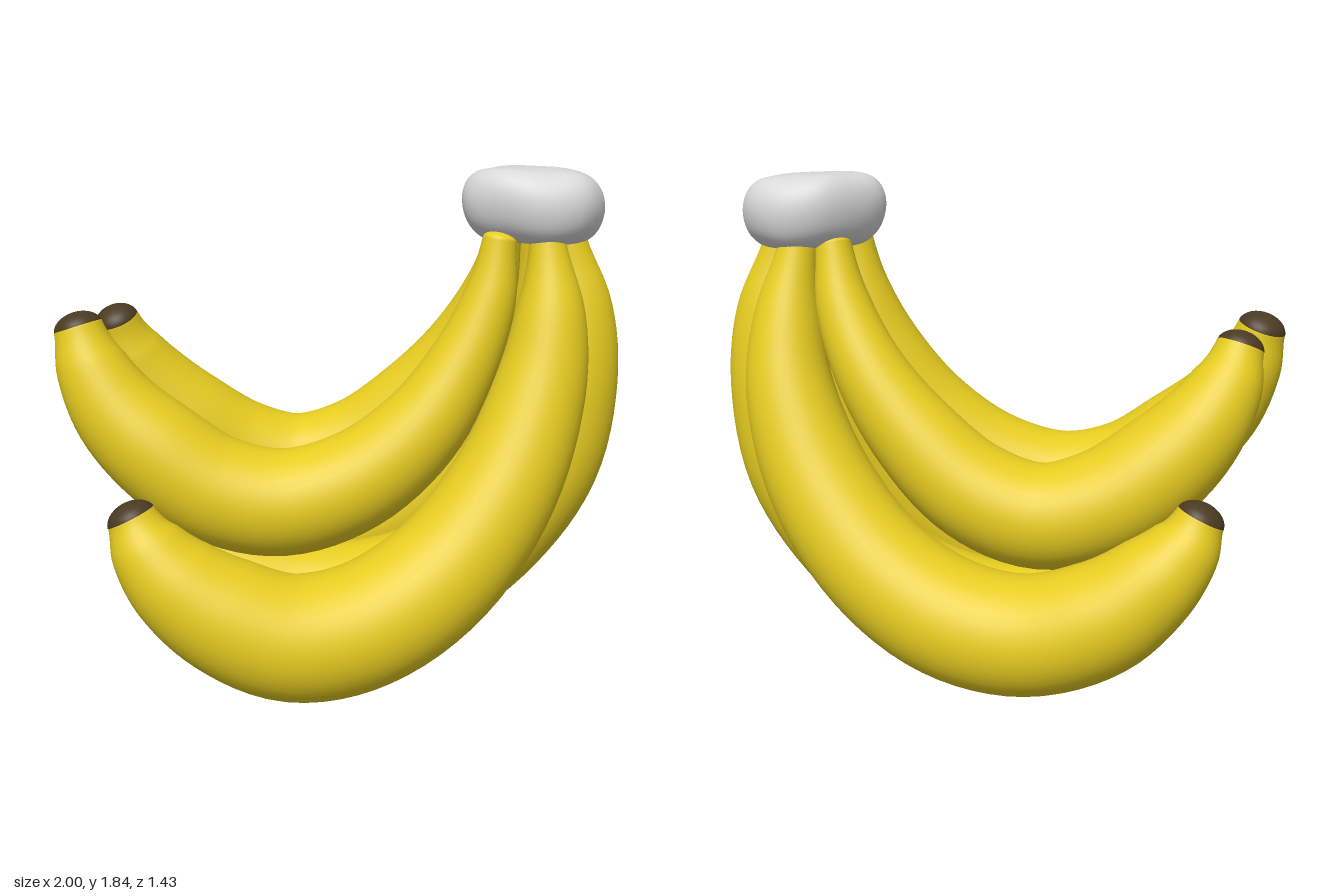
import * as THREE from 'three';

const SIDES = 36, STEPS = 60, DOME = 10, TIP_RINGS = 9;

// Closed skin over rings of equal point count; rings run counterclockwise about their direction of travel
function loft(rings) {
  const n = rings[0].length, pos = [], idx = [];
  rings.forEach(r => r.forEach(p => pos.push(p.x, p.y, p.z)));
  for (let i = 0; i < rings.length - 1; i++)
    for (let j = 0; j < n; j++) {
      const a = i * n + j, b = i * n + (j + 1) % n;
      idx.push(a, b, a + n, b, b + n, a + n);
    }
  const g = new THREE.BufferGeometry();
  g.setAttribute('position', new THREE.Float32BufferAttribute(pos, 3));
  g.setIndex(idx);
  g.computeVertexNormals();
  return g;
}

// Banana: each station is [x, y, z, radius], from the stem to the tip
function banana(stations, materials, name) {
  const path = new THREE.CatmullRomCurve3(stations.map(s => new THREE.Vector3(s[0], s[1], s[2])));
  const radii = new THREE.SplineCurve(stations.map((s, i) => new THREE.Vector2(i, s[3])));
  const rings = [];
  const ring = (t, shift, scale) => {
    const T = path.getTangent(t), c = path.getPoint(t).addScaledVector(T, shift);
    const b = new THREE.Vector3(0, 0, 1).addScaledVector(T, -T.z).normalize();
    const n = b.clone().cross(T), r = radii.getPoint(t).y * scale;
    rings.push(Array.from({ length: SIDES }, (_, j) => {
      const a = j / SIDES * Math.PI * 2;
      return c.clone().addScaledVector(n, r * Math.cos(a)).addScaledVector(b, r * Math.sin(a));
    }));
  };
  // Rounded stem end, body, rounded tip
  for (let k = 0; k < DOME; k++) {
    const a = k / DOME * Math.PI / 2;
    ring(0, -0.03 * Math.cos(a), Math.max(Math.sin(a), 0.001));
  }
  for (let i = 0; i <= STEPS; i++) ring(i / STEPS, 0, 1);
  for (let k = 1; k <= DOME; k++) {
    const a = k / DOME * Math.PI / 2;
    ring(1, 0.06 * Math.sin(a), Math.max(Math.cos(a), 0.001));
  }
  const g = loft(rings);
  const split = (rings.length - 1 - TIP_RINGS) * SIDES * 6;
  g.addGroup(0, split, 0);
  g.addGroup(split, g.index.count - split, 1);
  const m = new THREE.Mesh(g, materials);
  m.name = name;
  return m;
}

// Lumpy cap joining the stems
function crown(material) {
  const outline = new THREE.CatmullRomCurve3([
    [.70, .16], [.85, .12], [.92, -.05], [.87, -.2], [.75, -.27],
    [.60, -.25], [.50, -.17], [.42, -.02], [.45, .06], [.55, .125],
  ].map(p => new THREE.Vector3(p[0], 0, p[1])), true);
  const profile = new THREE.SplineCurve([
    [.001, 1.58], [.45, 1.583], [.73, 1.6], [.92, 1.645], [1, 1.71],
    [.965, 1.772], [.83, 1.818], [.6, 1.837], [.001, 1.838],
  ].map(p => new THREE.Vector2(...p)));
  const rings = [];
  for (let i = 0; i <= 32; i++) {
    const s = profile.getPoint(i / 32);
    rings.push(Array.from({ length: 40 }, (_, j) => {
      const p = outline.getPoint(j / 40);
      const dx = (p.x - .67) * s.x, dz = (p.z + .055) * s.x;
      const lump = .012 * s.x * Math.sin(dx * 17 + 1) * Math.cos(dz * 15);
      return new THREE.Vector3(.67 + dx, s.y + lump - dx * .05, -.055 + dz);
    }));
  }
  const m = new THREE.Mesh(loft(rings), material);
  m.name = 'crown';
  return m;
}

export function createModel() {
  const mat = (name, color) => {
    const m = new THREE.MeshStandardMaterial({ color });
    m.name = name;
    return m;
  };
  const skin = [mat('yellow peel', 0xe6cc20), mat('brown tip', 0x4a3a22)];
  const group = new THREE.Group();
  group.name = 'bananaBunch';

  const bananas = {
    lowerFrontBanana: [
      [.715, 1.59, .05, .063], [.73, 1.35, .08, .122], [.70, 1.1, .125, .162], [.58, .77, .225, .193],
      [.365, .485, .335, .212], [.10, .325, .435, .22], [-.15, .297, .492, .217], [-.38, .39, .515, .2],
      [-.54, .515, .525, .165], [-.63, .63, .52, .125], [-.675, .72, .51, .085]],
    lowerMiddleBanana: [
      [.795, 1.59, -.055, .068], [.845, 1.35, -.063, .122], [.84, 1.1, -.067, .162], [.76, .78, -.07, .195],
      [.58, .51, -.07, .205], [.33, .305, -.065, .21], [.05, .22, -.065, .212], [-.2, .235, -.06, .207],
      [-.42, .33, -.04, .18], [-.58, .45, -.025, .135], [-.665, .54, -.015, .082]],
    lowerBackBanana: [
      [.70, 1.59, -.155, .07], [.73, 1.35, -.2, .12], [.71, 1.1, -.265, .155], [.58, .79, -.35, .185],
      [.36, .535, -.435, .198], [.1, .385, -.487, .207], [-.17, .35, -.51, .205], [-.42, .435, -.515, .193],
      [-.6, .58, -.5, .157], [-.69, .69, -.48, .118], [-.73, .775, -.465, .083]],
    upperFrontBanana: [
      [.55, 1.6, .055, .06], [.52, 1.4, .07, .093], [.43, 1.17, .1, .125], [.28, .94, .14, .157],
      [.06, .76, .17, .18], [-.2, .68, .19, .192], [-.44, .73, .2, .193], [-.64, .87, .2, .185],
      [-.78, 1.01, .19, .16], [-.87, 1.17, .175, .124], [-.91, 1.295, .16, .087]],
    upperBackBanana: [
      [.58, 1.6, -.13, .064], [.54, 1.4, -.165, .097], [.43, 1.17, -.22, .127], [.26, .95, -.255, .158],
      [.05, .77, -.278, .178], [-.18, .695, -.28, .185], [-.4, .75, -.257, .188], [-.59, .88, -.215, .183],
      [-.72, 1.02, -.18, .158], [-.8, 1.16, -.14, .122], [-.835, 1.275, -.105, .083]],
  };
  for (const [name, stations] of Object.entries(bananas)) group.add(banana(stations, skin, name));
  group.add(crown(mat('pale grey crown', 0xd8d8d8)));
  return group;
}
